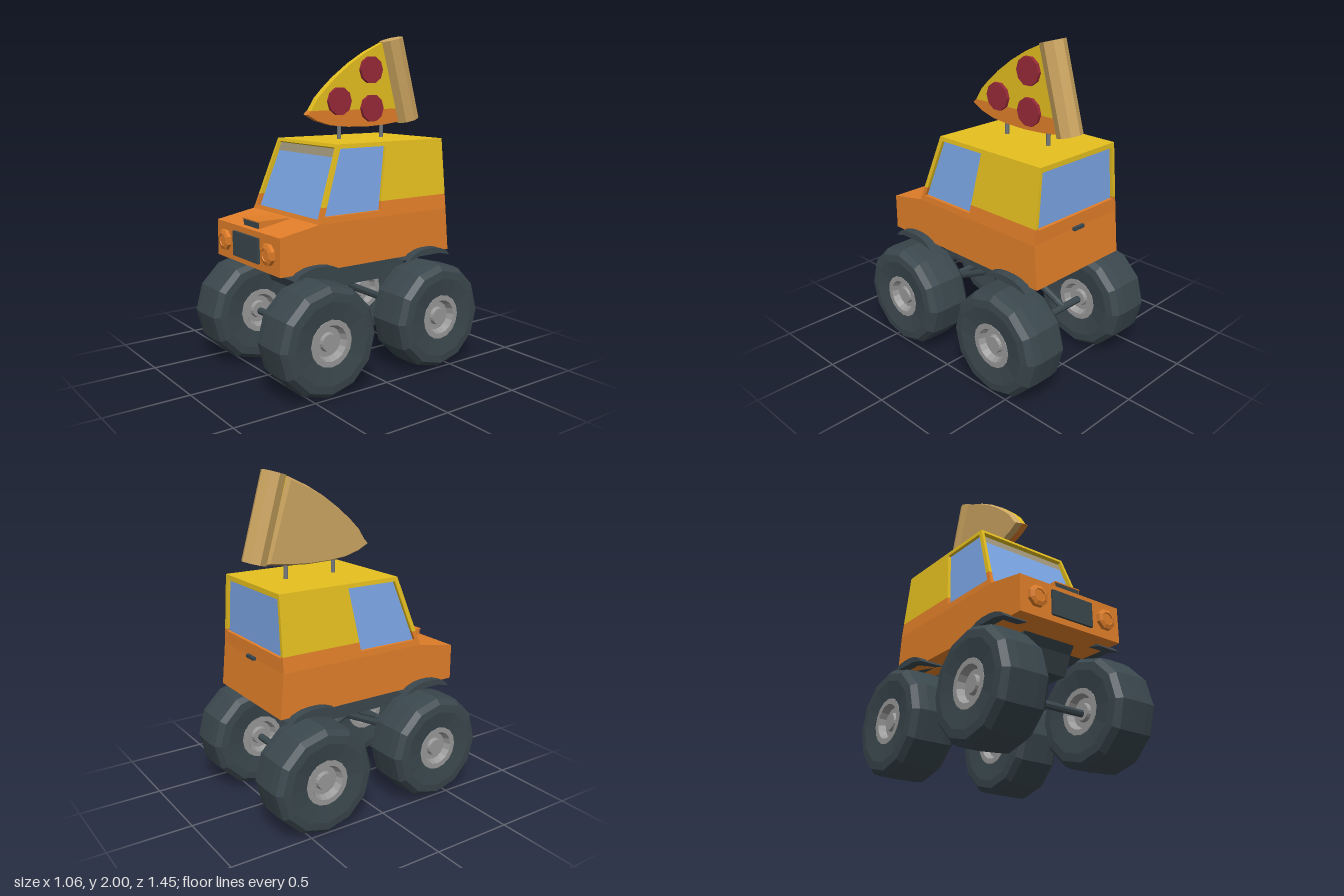
import * as THREE from 'three';

const material = (name, color) => {
  const m = new THREE.MeshStandardMaterial({ color, flatShading: true });
  m.name = name;
  return m;
};

export function createModel() {
  const orange = material('orange paint', 0xe27f29);
  const yellow = material('yellow paint', 0xe6c01f);
  const glass = material('window glass', 0x7ba6e6);
  const dark = material('dark rubber', 0x3a474d);
  const grey = material('wheel metal', 0x989898);
  const tan = material('baked dough', 0xcca560);
  const red = material('pepperoni red', 0x982a38);
  const strip = material('sun strip', 0xa0967a);
  const postGrey = material('post metal', 0x74797b);

  const model = new THREE.Group();
  model.name = 'pizzaTruck';

  const add = (name, geo, mat, x = 0, y = 0, z = 0) => {
    const mesh = new THREE.Mesh(geo, mat);
    mesh.name = name;
    mesh.position.set(x, y, z);
    model.add(mesh);
    return mesh;
  };
  const box = (name, mat, w, h, d, x, y, z) => add(name, new THREE.BoxGeometry(w, h, d), mat, x, y, z);

  // Rod between two points
  const rod = (name, mat, a, b, r, sides = 8) => {
    const p = new THREE.Vector3(...a), q = new THREE.Vector3(...b);
    const mesh = add(name, new THREE.CylinderGeometry(r, r, p.distanceTo(q), sides), mat);
    mesh.position.copy(p).lerp(q, 0.5);
    mesh.quaternion.setFromUnitVectors(new THREE.Vector3(0, 1, 0), q.sub(p).normalize());
    return mesh;
  };

  // Side outline of [z, y] points, extruded across x from x0 to x1
  const slab = (name, mat, pts, x0, x1) => {
    const shape = new THREE.Shape(pts.map(([z, y]) => new THREE.Vector2(z, y)));
    const geo = new THREE.ExtrudeGeometry(shape, { depth: x1 - x0, bevelEnabled: false });
    geo.rotateY(-Math.PI / 2).translate(x1, 0, 0);
    return add(name, geo, mat);
  };

  // ---- Body shell: flat faces, painted orange below the split and yellow above
  const SPLIT = 1.04;
  const tris = { low: [], high: [], glass: [], strip: [] };
  const fan = (list, pts) => {
    for (let i = 1; i < pts.length - 1; i++) list.push(...pts[0], ...pts[i], ...pts[i + 1]);
  };
  const clip = (pts, sign) => {
    const out = [];
    pts.forEach((a, i) => {
      const b = pts[(i + 1) % pts.length];
      const da = sign * (a[1] - SPLIT), db = sign * (b[1] - SPLIT);
      if (da >= 0) out.push(a);
      if (da * db < 0) out.push(a.map((v, k) => v + (b[k] - v) * da / (da - db)));
    });
    return out;
  };
  const face = (pts) => {
    fan(tris.high, clip(pts, 1));
    fan(tris.low, clip(pts, -1));
  };
  const mirror = (pts) => pts.map(([x, y, z]) => [-x, y, z]).reverse();
  const shift = (pts, d) => pts.map((p) => p.map((v, k) => v + d[k]));

  // Wall with a recessed window
  const windowWall = (outer, inner, d) => {
    const deep = shift(inner, d);
    for (let i = 0; i < 4; i++) {
      const j = (i + 1) % 4;
      face([outer[i], outer[j], inner[j], inner[i]]);
      face([inner[i], inner[j], deep[j], deep[i]]);
    }
    fan(tris.glass, deep);
  };

  const W = 0.355, T = 0.312, Y0 = 0.69, Y1 = 0.95, Y2 = 1.38;
  const rise = (y) => (y - Y1) / (Y2 - Y1);
  const wide = (y) => W + (T - W) * rise(y);
  const frontZ = (y) => 0.375 - 0.155 * rise(y);
  const backZ = (y) => -0.575 + 0.005 * rise(y);

  const lowerSide = [[0.625, Y0], [-0.6, Y0], [-0.575, Y1], [0.375, Y1], [0.625, 0.905]]
    .map(([z, y]) => [W, y, z]);
  face(lowerSide);
  face(mirror(lowerSide));
  const across = (z0, y0, z1, y1) => face([[-W, y0, z0], [W, y0, z0], [W, y1, z1], [-W, y1, z1]]);
  across(0.625, Y0, 0.625, 0.905); // nose
  across(0.625, 0.905, 0.375, Y1); // hood
  across(-0.575, Y1, -0.6, Y0);    // tailgate
  across(-0.6, Y0, 0.625, Y0);     // floor
  face([[-T, Y2, 0.22], [T, Y2, 0.22], [T, Y2, -0.57], [-T, Y2, -0.57]]); // roof

  const sideOuter = [[0.375, Y1], [-0.575, Y1], [-0.57, Y2], [0.22, Y2]].map(([z, y]) => [wide(y), y, z]);
  const sideInner = [[0.333, 0.987], [-0.062, 0.987], [-0.127, 1.355], [0.2, 1.355]].map(([z, y]) => [wide(y), y, z]);
  windowWall(sideOuter, sideInner, [-0.02, 0, 0]);
  windowWall(mirror(sideOuter), mirror(sideInner), [0.02, 0, 0]);

  const rect = (xa, ya, xb, yb, zAt) =>
    [[-xa, ya], [xa, ya], [xb, yb], [-xb, yb]].map(([x, y]) => [x, y, zAt(y)]);
  windowWall(rect(W, Y1, T, Y2, frontZ), rect(0.332, 0.975, 0.297, 1.362, frontZ), [0, -0.01, -0.025]);
  windowWall(rect(W, Y1, T, Y2, backZ).reverse(), rect(0.325, 1.03, 0.295, 1.35, backZ).reverse(), [0, 0, 0.02]);
  fan(tris.strip, shift(rect(0.302, 1.315, 0.297, 1.362, frontZ), [0, -0.01, -0.021]));

  const shell = (name, mat, list) => {
    const geo = new THREE.BufferGeometry();
    geo.setAttribute('position', new THREE.Float32BufferAttribute(list, 3));
    geo.computeVertexNormals();
    add(name, geo, mat);
  };
  shell('lowerBody', orange, tris.low);
  shell('upperBody', yellow, tris.high);
  shell('windows', glass, tris.glass);
  shell('sunStrip', strip, tris.strip);

  // ---- Nose and tail details
  slab('hoodScoop', orange, [[0.594, 0.9], [0.594, 0.946], [0.602, 0.946], [0.602, 0.953], [0.41, 0.953], [0.36, 0.94]], -0.088, 0.088);
  box('scoopOpening', dark, 0.165, 0.035, 0.006, 0, 0.928, 0.595);
  box('grille', dark, 0.285, 0.145, 0.02, 0, 0.798, 0.63);
  box('tailHandle', dark, 0.085, 0.018, 0.03, 0, 0.952, -0.58);
  for (const s of [-1, 1]) {
    const lamp = new THREE.LatheGeometry([[0.062, 0], [0.062, 0.022], [0.038, 0.03], [0.036, 0.024], [0, 0.024]]
      .map(([r, h]) => new THREE.Vector2(r, h)), 8, Math.PI / 8);
    add('headlight', lamp.rotateX(Math.PI / 2), orange, s * 0.246, 0.8, 0.625);
  }

  // ---- Chassis, axles, struts and fenders
  slab('chassis', dark, [[0.45, 0.7], [0.41, 0.64], [0.36, 0.525], [-0.36, 0.525], [-0.41, 0.64], [-0.45, 0.7]], -0.178, 0.178);
  const fenderArc = [[-0.165, 0.67], [-0.08, 0.69], [0.08, 0.69], [0.165, 0.67], [0.13, 0.703], [0.075, 0.723],
    [0.03, 0.729], [-0.03, 0.729], [-0.075, 0.723], [-0.13, 0.703]];
  for (const end of [-1, 1]) {
    rod('axle', dark, [-0.3, 0.317, end * 0.4], [0.3, 0.317, end * 0.4], 0.022);
    for (const s of [-1, 1]) {
      rod('strut', dark, [s * 0.11, 0.317, end * 0.4], [s * 0.11, 0.565, end * -0.13], 0.022);
      const arc = fenderArc.map(([z, y]) => [z + end * 0.4, y]);
      slab('fender', dark, arc, s > 0 ? 0.26 : -0.41, s > 0 ? 0.41 : -0.26);
    }
  }

  // ---- Wheels
  const lathe = (pts, sides) => new THREE.LatheGeometry(
    pts.map(([r, h]) => new THREE.Vector2(r, h)), sides).rotateZ(-Math.PI / 2);
  const half = [[0.322, 0.06], [0.316, 0.115], [0.287, 0.147], [0.24, 0.152], [0.135, 0.137], [0.13, 0.1]];
  const rimHalf = [[0.136, 0.1], [0.134, 0.14], [0.102, 0.14], [0.085, 0.1], [0.055, 0.1], [0.048, 0.122], [0, 0.122]];
  const both = (pts) => [...pts.map(([r, h]) => [r, -h]).reverse(), ...pts];
  const tyreGeo = lathe(both(half), 12), rimGeo = lathe(both(rimHalf), 16);
  for (const x of [-0.376, 0.376]) {
    for (const z of [-0.402, 0.402]) {
      add('tyre', tyreGeo, dark, x, 0.326, z);
      add('rim', rimGeo, grey, x, 0.326, z);
    }
  }

  // ---- Roof sign: pizza slice with topping on the +x side
  const CUT = 1.555;
  const topEdge = [[-0.33, 1.96], [-0.2, 1.9], [-0.09, 1.835], [0.02, 1.755], [0.1, 1.685], [0.16, 1.625], [0.205, CUT]];
  const lowEdge = [[0.23, 1.532], [0.16, 1.495], [0.06, 1.466], [-0.06, 1.454], [-0.2, 1.45], [-0.34, 1.458], [-0.48, 1.475]];
  const base = slab('sliceBase', tan, [...topEdge, ...lowEdge], -0.04, -0.008);
  // Draw the back of the dough in, so its rim slopes
  const pos = base.geometry.attributes.position;
  for (let i = 0; i < pos.count; i++) {
    if (pos.getX(i) < -0.03) {
      pos.setY(i, 1.65 + (pos.getY(i) - 1.65) * 0.94);
      pos.setZ(i, -0.2 + (pos.getZ(i) + 0.2) * 0.94);
    }
  }
  base.geometry.computeVertexNormals();
  slab('cheese', yellow, [...topEdge, [-0.45, CUT]], -0.008, 0.035);
  slab('cheeseLowerEdge', orange, [[0.205, CUT], ...lowEdge, [-0.45, CUT]], -0.008, 0.035);
  rod('crust', tan, [0.034, 1.482, -0.53], [0.034, 1.98, -0.39], 0.074, 8);
  for (const [z, y] of [[0.01, 1.608], [-0.228, 1.793], [-0.236, 1.562]]) {
    rod('pepperoni', red, [0.03, y, z], [0.056, y, z], 0.084, 10);
  }
  for (const z of [-0.02, -0.345]) rod('signPost', postGrey, [0, 1.37, z], [0, 1.47, z], 0.013);

  return model;
}
